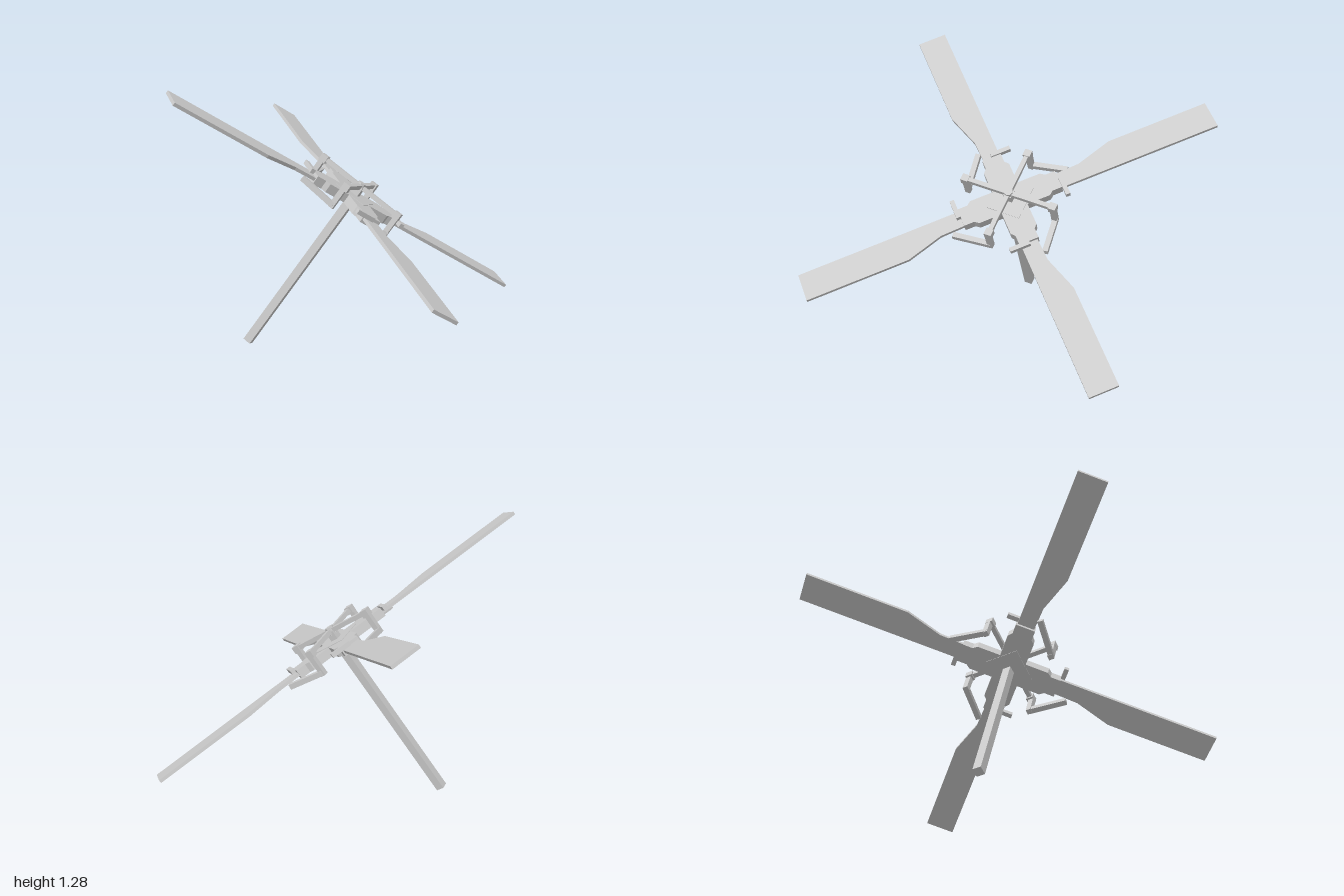
import * as THREE from 'three';

const material = new THREE.MeshStandardMaterial({ color: 0xcccccc, flatShading: true });

function addMesh(parent, name, geometry) {
  const mesh = new THREE.Mesh(geometry, material);
  mesh.name = name;
  parent.add(mesh);
  return mesh;
}

function box(parent, name, size, position) {
  const mesh = addMesh(parent, name, new THREE.BoxGeometry(...size));
  mesh.position.set(...position);
  return mesh;
}

// Square bar between two points
function bar(parent, name, from, to, thickness) {
  const a = new THREE.Vector3(...from), b = new THREE.Vector3(...to);
  const mesh = box(parent, name, [thickness, thickness, a.distanceTo(b)], [0, 0, 0]);
  mesh.position.copy(a).add(b).multiplyScalar(0.5);
  mesh.lookAt(b);
  return mesh;
}

// Flat plate from an [x, z] outline, centred on y = 0
function plate(parent, name, outline, thickness) {
  const shape = new THREE.Shape(outline.map(([x, z]) => new THREE.Vector2(x, -z)));
  const geometry = new THREE.ExtrudeGeometry(shape, { depth: thickness, bevelEnabled: false });
  geometry.translate(0, 0, -thickness / 2).rotateX(-Math.PI / 2);
  return addMesh(parent, name, geometry);
}

// One blade along +x with its root, control arm and linkage
function createBladeAssembly() {
  const group = new THREE.Group();
  plate(group, 'blade', [
    [0.22, 0.042], [1.06, 0.042], [1.06, -0.1], [0.55, -0.1], [0.37, -0.045], [0.22, -0.04],
  ], 0.016);
  plate(group, 'bladeRoot', [
    [0, 0.065], [0.18, 0.065], [0.2, 0.048], [0.25, 0.048],
    [0.25, -0.048], [0.2, -0.048], [0.18, -0.065], [0, -0.065],
  ], 0.045);
  box(group, 'rootPeg', [0.022, 0.022, 0.1], [0.26, 0.02, 0.05]);

  // Control arm sits halfway between this blade and the next
  const x = 0.16, z = -0.16;
  bar(group, 'controlArm', [0, 0.07, 0], [x, 0.07, z], 0.022);
  const end = box(group, 'armEnd', [0.036, 0.036, 0.036], [x, 0.068, z]);
  end.rotation.y = Math.PI / 4;
  const link = box(group, 'dropLink', [0.026, 0.12, 0.026], [x + 0.006, 0.01, z]);
  link.rotation.y = Math.PI / 4;
  bar(group, 'pitchRod', [x + 0.004, -0.036, z - 0.004], [0.315, -0.02, -0.05], 0.026);
  return group;
}

export function createModel() {
  const model = new THREE.Group();
  model.name = 'rotor';

  // Whole rotor leans with its shaft
  const rotor = new THREE.Group();
  rotor.name = 'tiltedRotor';
  rotor.position.y = 0.736;
  rotor.rotation.set(Math.PI / 9, 0, -Math.PI / 6, 'ZYX');
  model.add(rotor);

  for (let i = 0; i < 4; i++) {
    const assembly = createBladeAssembly();
    assembly.name = 'bladeAssembly' + (i + 1);
    assembly.rotation.y = i * Math.PI / 2;
    rotor.add(assembly);
  }

  // Mast and central hub
  const mast = box(rotor, 'mast', [0.04, 0.957, 0.04], [0, -0.4085, 0]);
  mast.rotation.y = Math.PI / 4;
  const hub = box(rotor, 'hubCore', [0.17, 0.05, 0.17], [0, 0, 0]);
  hub.rotation.y = Math.PI / 4;
  const cap = addMesh(rotor, 'hubCap', new THREE.CylinderGeometry(0.022, 0.022, 0.04, 8));
  cap.position.y = 0.07;

  return model;
}
